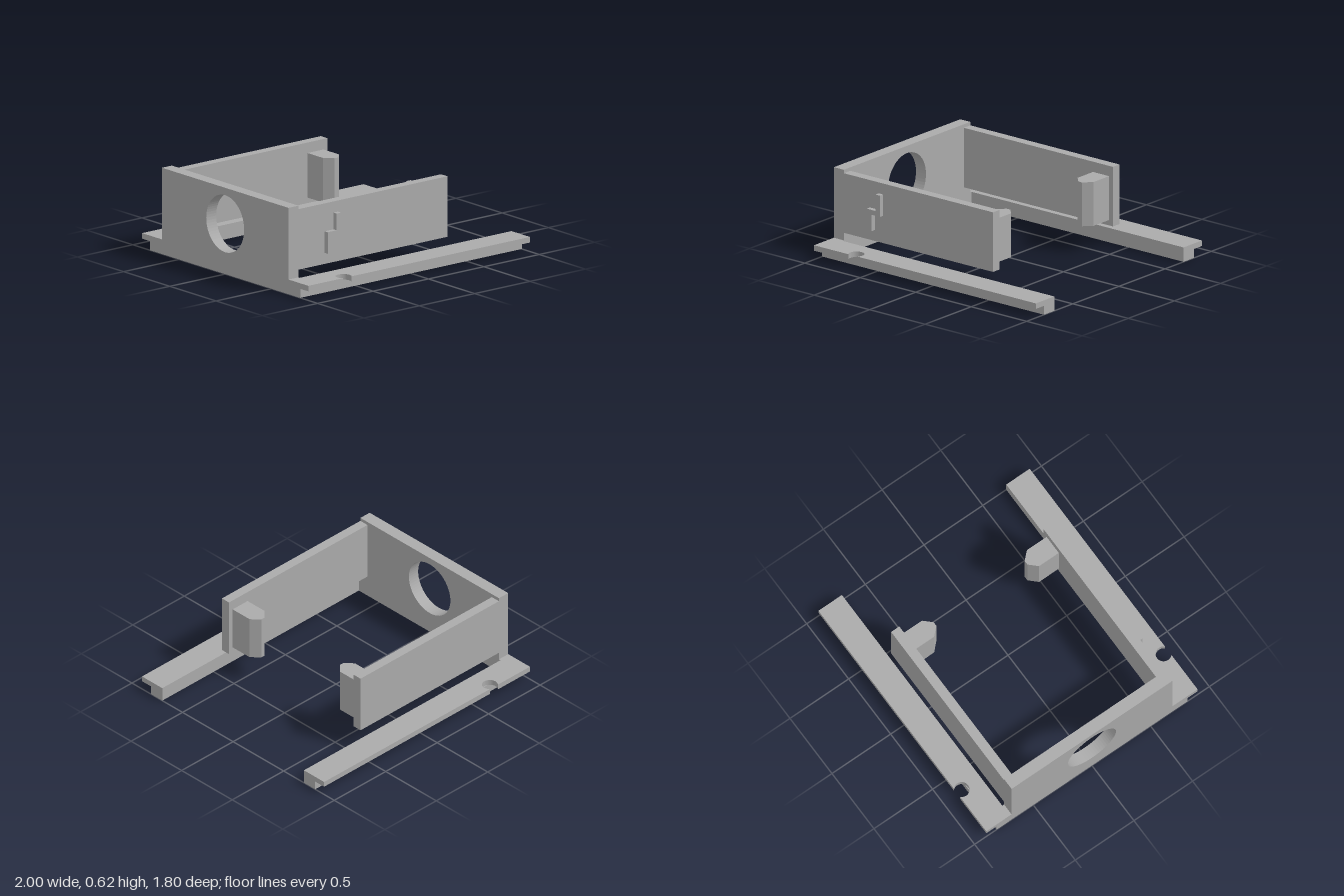
import * as THREE from 'three';

export function createModel() {
  const model = new THREE.Group();
  const grey = new THREE.MeshStandardMaterial({ color: 0xaaaaaa });
  grey.name = 'plain grey';

  function add(parent, name, geometry) {
    const mesh = new THREE.Mesh(geometry, grey);
    mesh.name = name;
    parent.add(mesh);
    return mesh;
  }

  // Box given by its lower and upper limits on each axis
  function box(parent, name, x0, x1, y0, y1, z0, z1) {
    const mesh = add(parent, name, new THREE.BoxGeometry(x1 - x0, y1 - y0, z1 - z0));
    mesh.position.set((x0 + x1) / 2, (y0 + y1) / 2, (z0 + z1) / 2);
    return mesh;
  }

  // Plan outline (x, z) raised from y0 to y1; side -1 mirrors it in z
  function slab(parent, name, points, y0, y1, side) {
    const outline = new THREE.Shape(points.map(([x, z]) => new THREE.Vector2(x, -z * side)));
    const geometry = new THREE.ExtrudeGeometry(outline, { depth: y1 - y0, bevelEnabled: false });
    geometry.rotateX(-Math.PI / 2);
    geometry.translate(0, y0, 0);
    return add(parent, name, geometry);
  }

  // Upright end plate with a round opening, widened where it meets the rails
  const plate = new THREE.Shape([
    [-0.7, 0], [0.7, 0], [0.7, 0.105], [0.685, 0.105],
    [0.685, 0.62], [-0.685, 0.62], [-0.685, 0.105], [-0.7, 0.105],
  ].map(([z, y]) => new THREE.Vector2(z, y)));
  const opening = new THREE.Path();
  opening.absarc(0, 0.362, 0.205, 0, Math.PI * 2, true);
  plate.holes.push(opening);
  const plateGeometry = new THREE.ExtrudeGeometry(plate, {
    depth: 0.09, bevelEnabled: false, curveSegments: 32,
  });
  plateGeometry.rotateY(Math.PI / 2);
  plateGeometry.translate(-1, 0, 0);
  add(model, 'endPlate', plateGeometry);

  // Flange outline, with a round notch breaking through the outer edge
  const notch = [];
  const notchX = -0.65, notchZ = 0.86, notchR = 0.055;
  const lip = Math.asin((0.9 - notchZ) / notchR);
  for (let i = 0; i <= 32; i++) {
    const a = lip - (i / 32) * (Math.PI + 2 * lip);
    notch.push([notchX + notchR * Math.cos(a), notchZ + notchR * Math.sin(a)]);
  }
  const flange = [[-1, 0.7], [1, 0.7], [1, 0.9], ...notch, [-1, 0.9]];

  // Peg outline, pointing inward with a narrow flat tip
  const peg = [
    [0.255, 0.615], [0.255, 0.447], [0.312, 0.388],
    [0.344, 0.388], [0.4, 0.447], [0.4, 0.615],
  ];

  for (const side of [1, -1]) {
    const half = new THREE.Group();
    half.name = side > 0 ? 'frontSide' : 'backSide';
    model.add(half);
    const span = (a, b) => (side > 0 ? [a, b] : [-b, -a]);

    // Rail with an overhanging flange
    box(half, 'railFoot', -1, 1, 0, 0.065, ...span(0.7, 0.812));
    slab(half, 'railFlange', flange, 0.065, 0.105, side);

    // Side arm and its catch peg
    box(half, 'sideArm', -0.91, 0.435, 0.16, 0.595, ...span(0.615, 0.685));
    slab(half, 'catchPeg', peg, 0.2, 0.52, side);
  }

  // Plain stepped key raised on the front arm
  const key = new THREE.Group();
  key.name = 'raisedKey';
  model.add(key);
  box(key, 'keyUpper', -0.595, -0.555, 0.36, 0.515, 0.685, 0.72);
  box(key, 'keyLower', -0.675, -0.63, 0.24, 0.395, 0.685, 0.72);
  box(key, 'keyBridge', -0.63, -0.595, 0.36, 0.395, 0.685, 0.72);

  return model;
}
